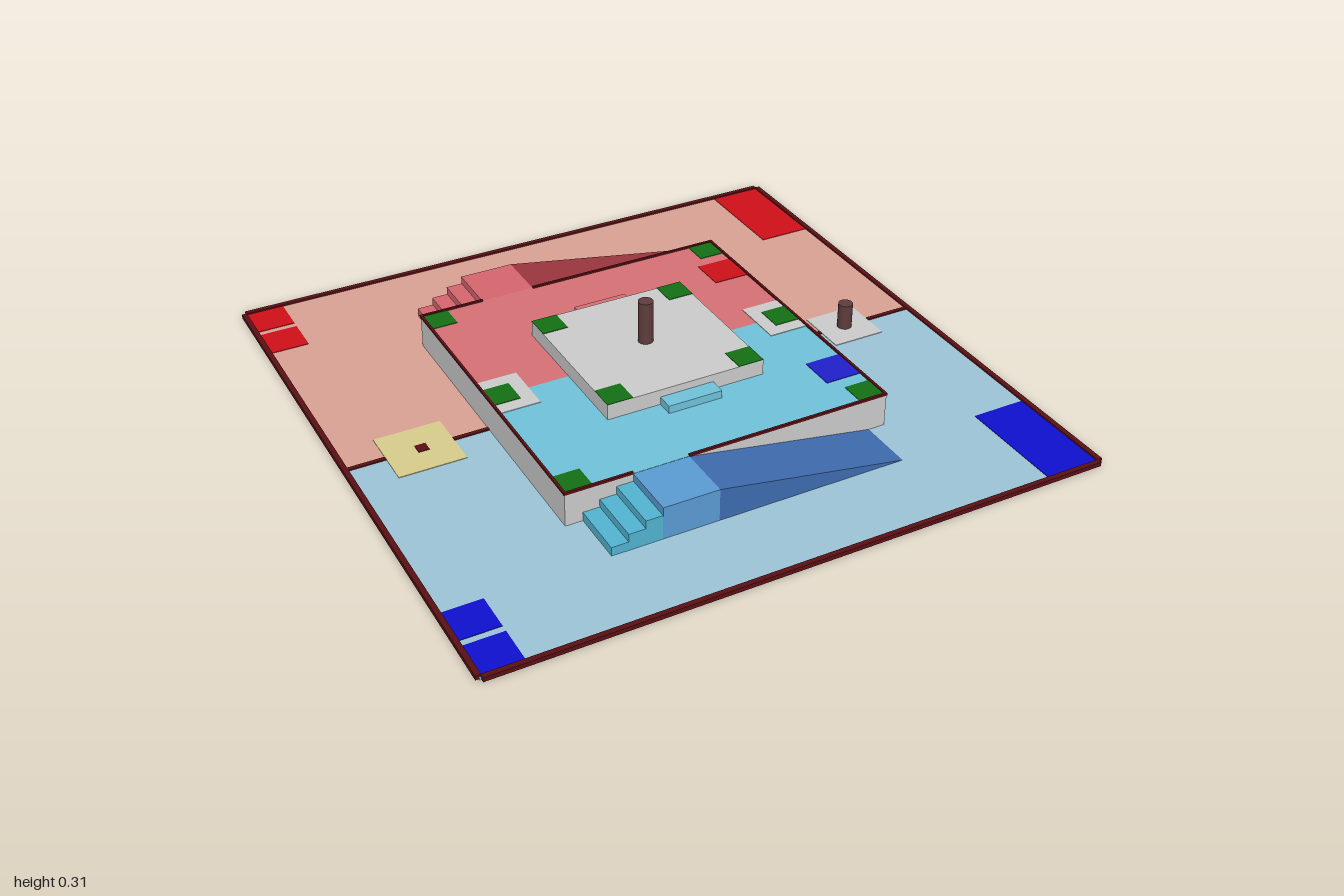
import * as THREE from 'three';

const COLORS = {
  grey: 0xcccccc, trim: 0x5a1014, post: 0x5e3c3c, green: 0x147014, yellow: 0xd8cc8c,
};
// Team colours: side +1 is the front (blue) half, -1 the back (red) half
const TEAMS = [
  { side: 1, name: 'blue', ground: 0x9cc4d6, deck: 0x70c2da, pad: 0x1010d0, deckPad: 0x2020cc,
    stairs: 0x52b4d2, landing: 0x5a9cd4, ramp: 0x3f6cb0 },
  { side: -1, name: 'red', ground: 0xd8a294, deck: 0xd67076, pad: 0xd01018, deckPad: 0xcc1018,
    stairs: 0xd6666e, landing: 0xd6666e, ramp: 0x9c363e },
];
const GROUND = 0.008, DECK = 0.117, TOP = 0.168, EDGE = 0.535, PAD = 0.002;

export function createModel() {
  const model = new THREE.Group();
  model.name = 'arenaField';
  const materials = {};
  const mat = (c) => (materials[c] ??= new THREE.MeshStandardMaterial({ color: c, flatShading: true }));

  const add = (name, geometry, color) => {
    const mesh = new THREE.Mesh(geometry, mat(color));
    mesh.name = name;
    model.add(mesh);
    return mesh;
  };
  // Box given by its limits on each axis
  const box = (name, color, [x0, x1], [y0, y1], [z0, z1]) => {
    const g = new THREE.BoxGeometry(x1 - x0, y1 - y0, Math.abs(z1 - z0));
    g.translate((x0 + x1) / 2, (y0 + y1) / 2, (z0 + z1) / 2);
    return add(name, g, color);
  };
  // Thin coloured tile lying on a level
  const tile = (name, color, x, z, level) => box(name, color, x, [level, level + PAD], z);
  const post = (name, x, y0, y1) => {
    const g = new THREE.CylinderGeometry(0.024, 0.024, y1 - y0, 20);
    g.translate(x, (y0 + y1) / 2, 0);
    add(name, g, COLORS.post).material = postMaterial;
  };
  const postMaterial = new THREE.MeshStandardMaterial({ color: COLORS.post });

  // Central platform and raised block
  box('platformBase', COLORS.grey, [-EDGE, EDGE], [GROUND, DECK - PAD], [-EDGE, EDGE]);
  box('raisedBlock', COLORS.grey, [-0.265, 0.265], [DECK, TOP], [-0.265, 0.265]);
  post('centrePole', 0, TOP, 0.31);

  for (const t of TEAMS) {
    const s = t.side;
    const zs = (a, b) => [s * a, s * b];

    // Ground half and deck half
    box(`${t.name}Ground`, t.ground, [-0.99, 0.99], [0, GROUND], zs(0, 0.99));
    box(`${t.name}Deck`, t.deck, [-EDGE, EDGE], [DECK - PAD, DECK], zs(0, EDGE));

    // Corner zones and deck zone
    tile(`${t.name}LargeZone`, t.pad, [0.805, 0.982], zs(0.628, 0.982), GROUND);
    tile(`${t.name}SmallZoneInner`, t.pad, [-0.982, -0.86], zs(0.715, 0.838), GROUND);
    tile(`${t.name}SmallZoneOuter`, t.pad, [-0.982, -0.86], zs(0.86, 0.982), GROUND);
    tile(`${t.name}DeckZone`, t.deckPad, [0.41, 0.53], zs(0.28, 0.4), DECK);

    // Step up to the raised block
    box(`${t.name}BlockStep`, t.deck, [-0.09, 0.09], [DECK, 0.143], zs(0.265, 0.32));

    // Stairs, landing and ramp along the platform side
    for (let i = 0; i < 3; i++) {
      const x = -0.48 + i * 0.0533;
      box(`${t.name}Stair`, t.stairs, [x, x + 0.0533], [GROUND, 0.037 + i * 0.0265], zs(EDGE, 0.713));
    }
    box(`${t.name}Landing`, t.landing, [-0.32, -0.14], [GROUND, DECK - 0.001], zs(EDGE, 0.713));
    const wedge = new THREE.Shape([
      new THREE.Vector2(-0.14, GROUND), new THREE.Vector2(0.48, GROUND), new THREE.Vector2(-0.14, DECK - 0.001),
    ]);
    const ramp = new THREE.ExtrudeGeometry(wedge, { depth: 0.713 - EDGE, bevelEnabled: false });
    ramp.translate(0, 0, s > 0 ? EDGE : -0.713);
    add(`${t.name}Ramp`, ramp, t.ramp);

    // Platform trim, open at the landing
    for (const x of [[-EDGE, -0.32], [-0.14, EDGE]])
      box('deckTrim', COLORS.trim, x, [DECK - PAD, 0.123], zs(0.529, 0.537));

    // Field border
    box('borderEnd', COLORS.trim, [-0.985, 0.985], [0, 0.014], zs(0.983, 1));
  }

  for (const s of [-1, 1]) {
    // Side trims and borders
    const xs = (a, b) => (s > 0 ? [a, b] : [-b, -a]);
    box('deckTrimSide', COLORS.trim, xs(0.529, 0.537), [DECK - PAD, 0.123], [-0.537, 0.537]);
    box('borderSide', COLORS.trim, xs(0.983, 1), [0, 0.014], [-0.985, 0.985]);

    // Mid-edge pads and green markers
    tile('deckSidePad', COLORS.grey, xs(0.4, 0.53), [-0.09, 0.09], DECK);
    tile('sideMarker', COLORS.green, xs(0.445, 0.53), [-0.045, 0.045], DECK + PAD);
    for (const z of [-1, 1]) {
      tile('deckCornerMarker', COLORS.green, xs(0.445, 0.53), [z * 0.445, z * 0.53], DECK);
      tile('blockCornerMarker', COLORS.green, xs(0.18, 0.265), [z * 0.18, z * 0.265], TOP);
    }
  }

  // Centre line pieces, with gaps at the pads
  for (const x of [[-0.985, -0.865], [-0.65, -EDGE], [EDGE, 0.65], [0.83, 0.985]])
    box('centreLine', COLORS.trim, x, [GROUND, 0.012], [-0.007, 0.007]);

  // Yellow pad with a marker, grey pad with a post
  tile('yellowPad', COLORS.yellow, [-0.865, -0.65], [-0.107, 0.107], GROUND);
  tile('yellowPadMarker', COLORS.trim, [-0.768, -0.733], [-0.018, 0.018], GROUND + PAD);
  tile('postPad', COLORS.grey, [0.65, 0.83], [-0.09, 0.09], GROUND);
  post('sidePost', 0.74, GROUND, 0.096);

  return model;
}
